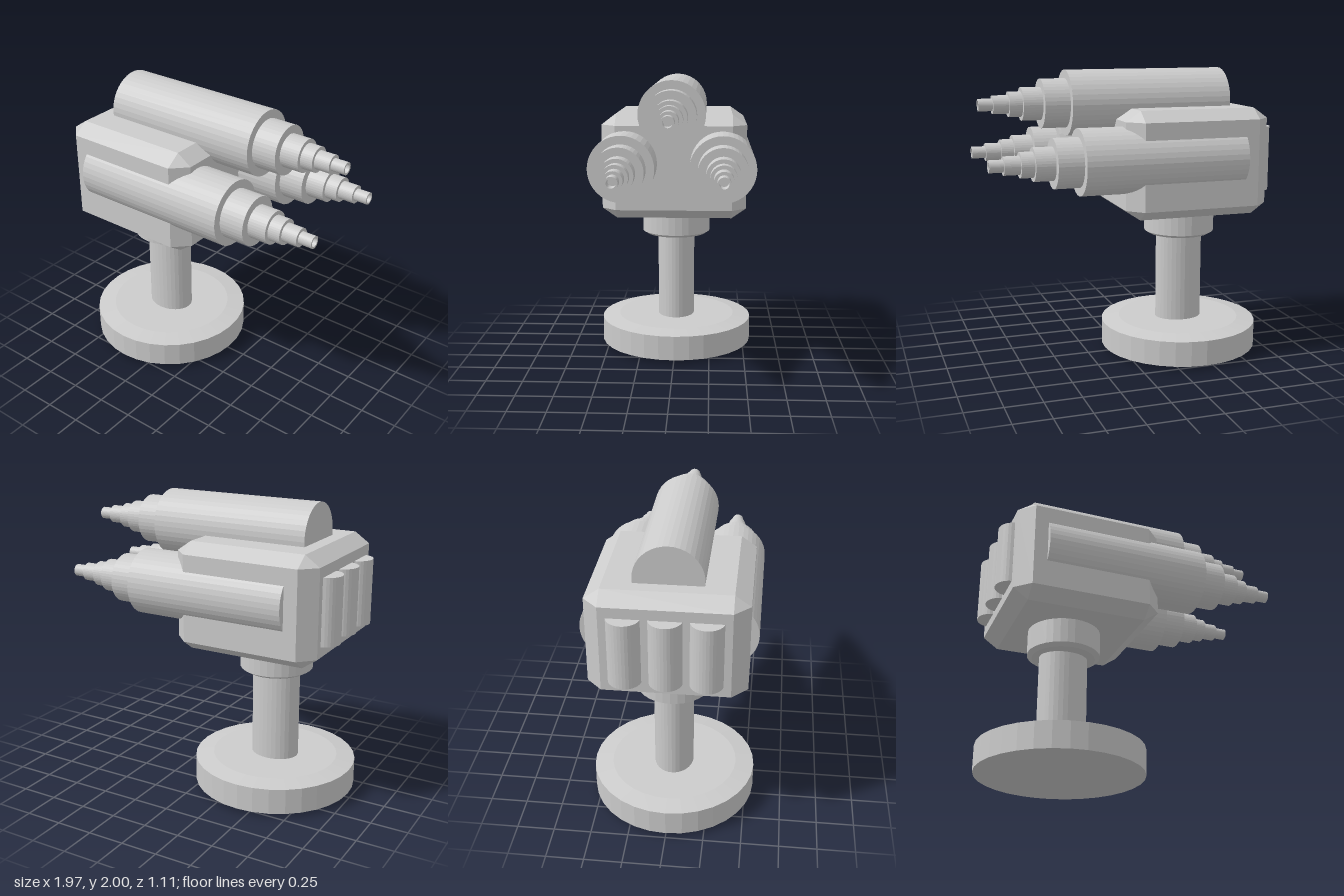
import * as THREE from 'three';
import { ConvexGeometry } from 'three/addons/geometries/ConvexGeometry.js';

const material = new THREE.MeshStandardMaterial({ color: 0xcccccc, flatShading: true });

function addPart(parent, name, geometry, x, y, z) {
  const mesh = new THREE.Mesh(geometry, material);
  mesh.name = name;
  mesh.position.set(x, y, z);
  parent.add(mesh);
  return mesh;
}

// Profile of [radius, height] pairs, listed from bottom to top
function turned(profile, sides = 32) {
  return new THREE.LatheGeometry(profile.map(([r, h]) => new THREE.Vector2(r, h)), sides);
}

// Box with every edge cut off; half sizes and cut depth per axis
function chamferedBox(half, cut) {
  const points = [];
  for (const sx of [-1, 1]) for (const sy of [-1, 1]) for (const sz of [-1, 1]) {
    for (let face = 0; face < 3; face++) {
      const p = half.map((h, axis) => (axis === face ? h : h - cut[axis]));
      points.push(new THREE.Vector3(sx * p[0], sy * p[1], sz * p[2]));
    }
  }
  return new ConvexGeometry(points);
}

export function createModel() {
  const model = new THREE.Group();
  model.name = 'turret';
  const axisX = -0.43;

  // Stand
  addPart(model, 'base', turned([[0, 0], [0.43, 0], [0.555, 0.025], [0.555, 0.2], [0.43, 0.22], [0, 0.22]]), axisX, 0, 0);
  const column = addPart(model, 'column', new THREE.CylinderGeometry(1, 1, 0.8, 32), axisX, 0.55, 0);
  column.scale.set(0.166, 1, 0.134);
  addPart(model, 'collar', turned([[0, 0.84], [0.215, 0.84], [0.247, 0.86], [0.247, 1.06], [0, 1.06]]), axisX, 0, 0);

  // Housing
  addPart(model, 'housing', chamferedBox([0.5, 0.36, 0.5], [0.1, 0.07, 0.1]), -0.4, 1.39, 0);

  // Stepped barrels with a hollow muzzle, pointing along +x
  const steps = [[0.22, -0.71, 0.4], [0.164, 0.4, 0.57], [0.11, 0.57, 0.7],
    [0.084, 0.7, 0.785], [0.061, 0.785, 0.89], [0.041, 0.89, 0.982]];
  const profile = [[0, -0.71]];
  for (const [r, start, end] of steps) profile.push([r, start], [r, end]);
  profile.push([0.029, 0.982], [0.029, 0.89], [0, 0.89]);
  const barrel = turned(profile, 40).rotateZ(-Math.PI / 2);
  addPart(model, 'topBarrel', barrel, 0, 1.78, 0);
  addPart(model, 'leftBarrel', barrel, 0, 1.425, 0.333);
  addPart(model, 'rightBarrel', barrel, 0, 1.425, -0.333);

  // Upright canisters along the rear wall
  const canister = new THREE.CylinderGeometry(0.105, 0.105, 0.44, 32);
  for (const z of [-0.25, 0, 0.25]) addPart(model, 'rearCanister', canister, -0.88, 1.39, z);

  return model;
}
